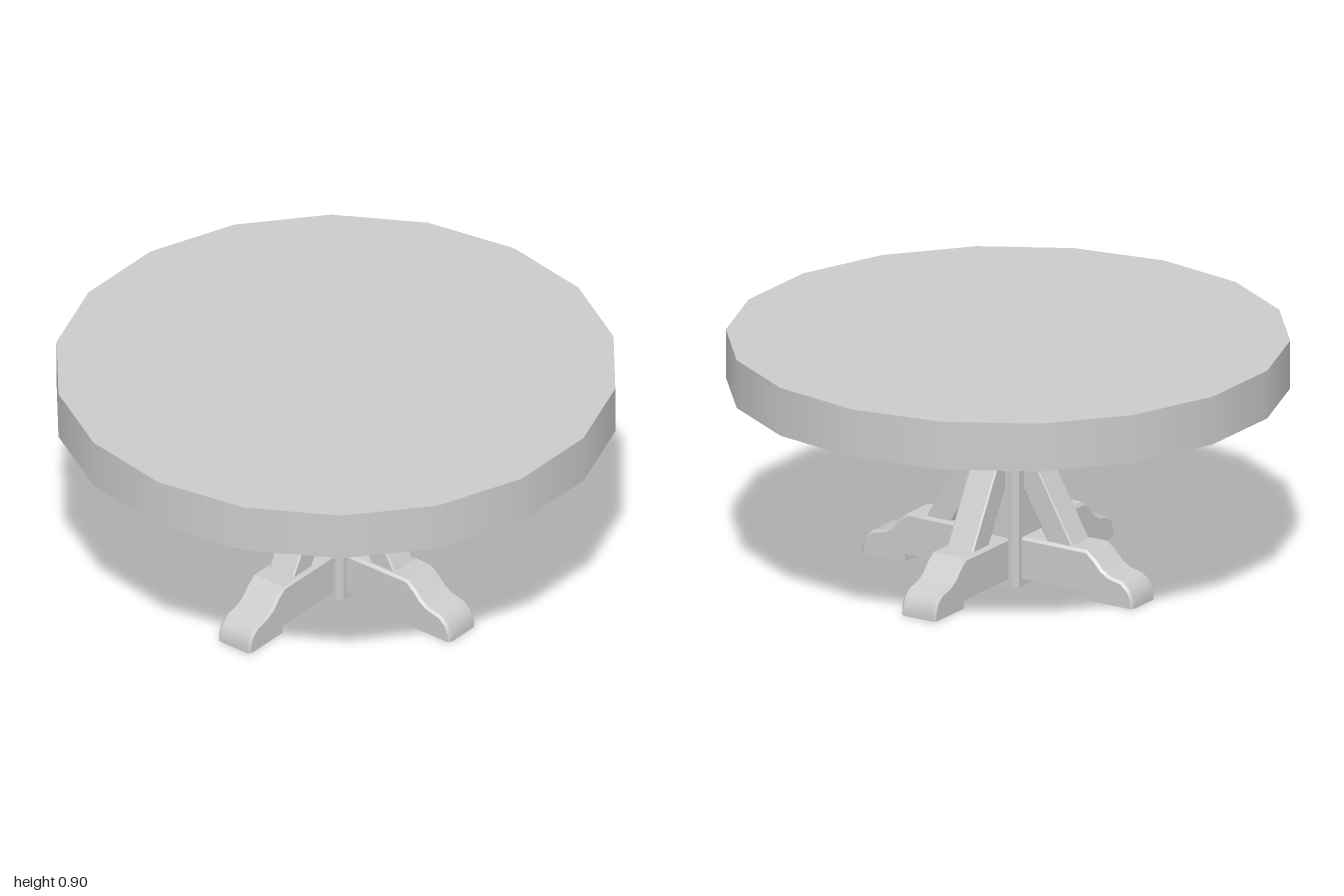
import * as THREE from 'three';
import { toCreasedNormals } from 'three/addons/utils/BufferGeometryUtils.js';

const material = new THREE.MeshStandardMaterial({ color: 0xcccccc });

const shapeOf = (points) => new THREE.Shape(points.map(([x, y]) => new THREE.Vector2(x, y)));

// Side profile extruded to a board centred on z = 0, with chamfered long edges
function board(points, width, bevel) {
  const geometry = new THREE.ExtrudeGeometry(shapeOf(points), {
    depth: width - 2 * bevel, bevelEnabled: true, bevelSegments: 1,
    bevelSize: bevel, bevelThickness: bevel, bevelOffset: -bevel,
  });
  return geometry.translate(0, 0, -width / 2 + bevel);
}

function addMesh(parent, name, geometry) {
  const mesh = new THREE.Mesh(geometry, material);
  mesh.name = name;
  parent.add(mesh);
  return mesh;
}

// Foot beam: scrolled end, raised underside, chamfer on the upper edges only
function footGeometry() {
  const geometry = board([
    [0.03, 0.03], [0.39, 0.03], [0.39, 0], [0.575, 0], [0.575, 0.03],
    [0.56, 0.066], [0.53, 0.092], [0.475, 0.105], [0.445, 0.123],
    [0.415, 0.156], [0.38, 0.183], [0.03, 0.183],
  ], 0.145, 0.009);
  const p = geometry.attributes.position;
  for (let i = 0; i < p.count; i++) {
    const x = p.getX(i), y = p.getY(i);
    // keep the underside edges square
    if (y < 0.015) p.setY(i, 0);
    else if (x < 0.42 && y < 0.045) p.setY(i, 0.03);
    if (x > 0.38 && x < 0.41 && y < 0.045) p.setX(i, 0.39);
  }
  return toCreasedNormals(geometry, 0.6);
}

export function createModel() {
  const table = new THREE.Group();
  table.name = 'pedestalTable';

  // Round top with 18 sides
  const top = new THREE.CylinderGeometry(1, 1, 0.178, 18, 1, false, Math.PI / 2);
  addMesh(table, 'tableTop', top).position.y = 0.809;

  // Square column with chamfered corners
  const a = 0.105, c = 0.088;
  const column = new THREE.ExtrudeGeometry(shapeOf([
    [a, -c], [a, c], [c, a], [-c, a], [-a, c], [-a, -c], [-c, -a], [c, -a],
  ]), { depth: 0.722, bevelEnabled: false });
  addMesh(table, 'column', column.rotateX(-Math.PI / 2));

  // Four feet, each with a diagonal brace
  const foot = footGeometry();
  const brace = board([
    [0.06, 0.427], [0.215, 0.16], [0.322, 0.16], [0.06, 0.619],
  ], 0.112, 0.006);
  for (let i = 0; i < 4; i++) {
    const leg = new THREE.Group();
    leg.name = `leg${i + 1}`;
    leg.rotation.y = i * Math.PI / 2;
    addMesh(leg, 'foot', foot);
    addMesh(leg, 'brace', brace);
    table.add(leg);
  }
  return table;
}
